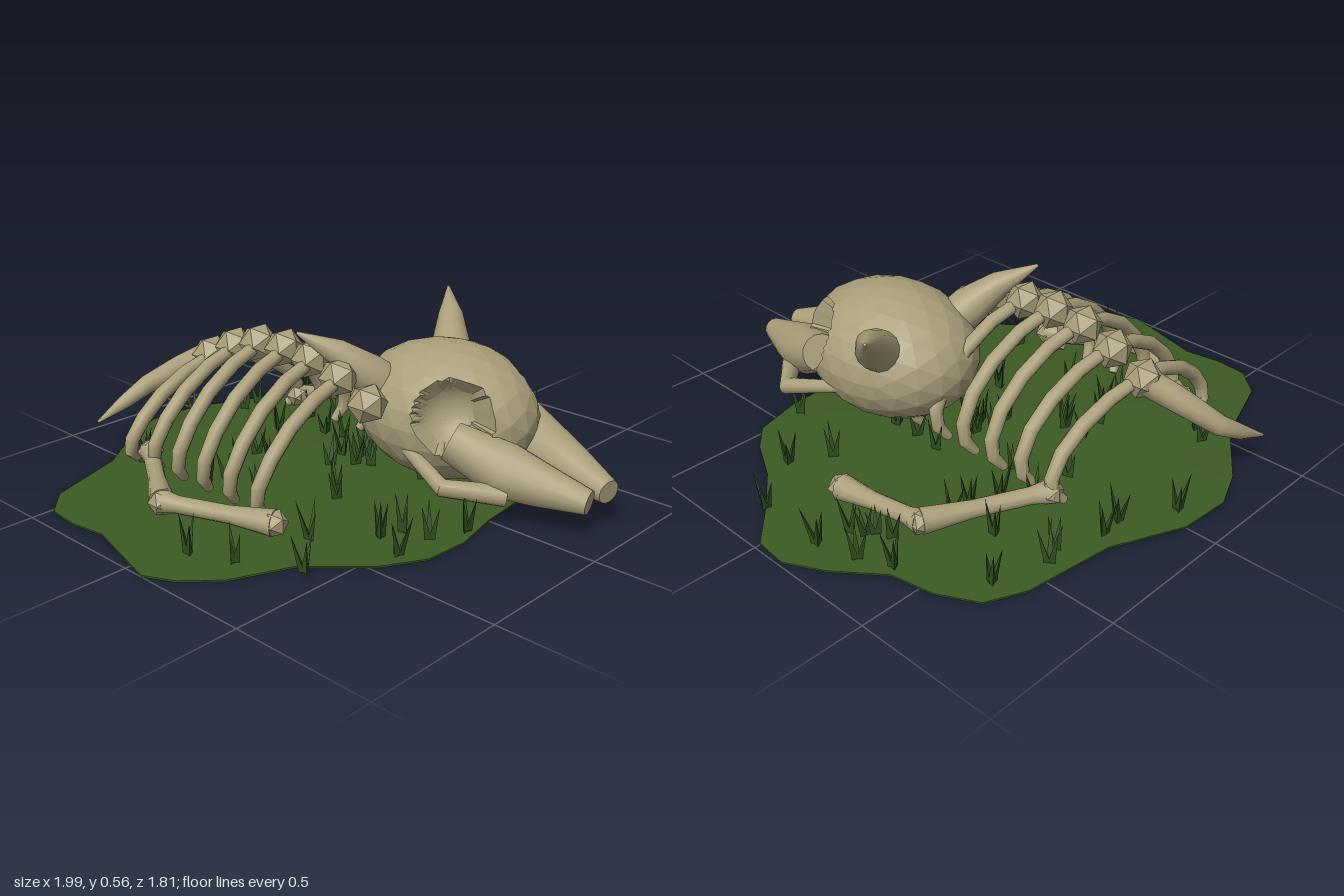
import * as THREE from 'three';
import { toCreasedNormals, mergeGeometries } from 'three/addons/utils/BufferGeometryUtils.js';

const V = (x, y, z) => new THREE.Vector3(x, y, z);
const SKULL_X = 0.165, SPINE_X = -0.16;

function fromTriangles(points, crease) {
  const geo = new THREE.BufferGeometry().setFromPoints(points);
  return toCreasedNormals(geo, crease);
}

// Joins rings of points into a closed skin with capped ends
function skin(rings, crease = 0.7) {
  const tris = [], n = rings[0].length;
  const mid = (ring) => ring.reduce((s, p) => s.add(p), V(0, 0, 0)).divideScalar(n);
  const first = rings[0], last = rings[rings.length - 1];
  const c0 = mid(first), c1 = mid(last);
  for (let i = 0; i < n; i++) {
    const j = (i + 1) % n;
    tris.push(c0, first[j], first[i], c1, last[i], last[j]);
    for (let k = 0; k + 1 < rings.length; k++) {
      const a = rings[k], b = rings[k + 1];
      tris.push(a[i], a[j], b[j], a[i], b[j], b[i]);
    }
  }
  return fromTriangles(tris, crease);
}

// Round limb through stations [x, y, z, radius]
function loft(stations, sides = 12) {
  const pts = stations.map((s) => V(s[0], s[1], s[2]));
  const whole = pts[pts.length - 1].clone().sub(pts[0]);
  const a = whole.toArray().map(Math.abs);
  const ref = V(0, 0, 0).setComponent(a.indexOf(Math.min(...a)), 1);
  return skin(pts.map((p, k) => {
    const t = V(0, 0, 0);
    if (k > 0) t.add(p.clone().sub(pts[k - 1]).normalize());
    if (k < pts.length - 1) t.add(pts[k + 1].clone().sub(p).normalize());
    t.normalize();
    const u = ref.clone().cross(t).normalize(), v = t.clone().cross(u);
    return Array.from({ length: sides }, (_, i) => {
      const q = (i / sides) * Math.PI * 2, r = stations[k][3];
      return p.clone().addScaledVector(u, Math.cos(q) * r).addScaledVector(v, Math.sin(q) * r);
    });
  }));
}

const mirror = (stations, x) => stations.map((s) => [2 * x - s[0], ...s.slice(1)]);

// Faceted egg with two scooped eye sockets
function craniumGeometry() {
  const centre = V(SKULL_X, 0.267, 0.28), r = 0.13, n = 6;
  const sockets = [-1, 1].map((s) => V(SKULL_X + s * 0.205, 0.33, 0.47));
  const ico = new THREE.IcosahedronGeometry(1, 3).scale(0.275, 0.235, 0.34);
  ico.translate(centre.x, centre.y, centre.z);
  const pos = ico.attributes.position, out = [];
  const carve = (p) => {
    for (const c of sockets) {
      const w = p.clone().sub(c);
      if (w.length() >= r) continue;
      const d = centre.clone().sub(p).normalize(), k = w.dot(d);
      p.addScaledVector(d, -k + Math.sqrt(k * k - w.lengthSq() + r * r));
    }
    return p;
  };
  for (let f = 0; f < pos.count; f += 3) {
    const [a, b, c] = [0, 1, 2].map((i) => V(0, 0, 0).fromBufferAttribute(pos, f + i));
    const at = (i, j) => carve(a.clone().multiplyScalar(n - i - j)
      .addScaledVector(b, i).addScaledVector(c, j).divideScalar(n));
    for (let i = 0; i < n; i++) for (let j = 0; i + j < n; j++) {
      out.push(at(i, j), at(i + 1, j), at(i, j + 1));
      if (i + j < n - 1) out.push(at(i + 1, j), at(i + 1, j + 1), at(i, j + 1));
    }
  }
  return fromTriangles(out, 0.15);
}

export function createModel() {
  const model = new THREE.Group();
  const material = (name, color) => {
    const m = new THREE.MeshStandardMaterial({ color });
    m.name = name;
    return m;
  };
  const bone = material('bone', 0xaa9f7a);
  const turf = material('turf', 0x3c5a23);
  const blade = material('grass blade', 0x2f4f1d);
  const add = (name, geo, mat = bone, parent = model) => {
    const mesh = new THREE.Mesh(geo, mat);
    mesh.name = name;
    parent.add(mesh);
    return mesh;
  };
  const group = (name) => {
    const g = new THREE.Group();
    g.name = name;
    model.add(g);
    return g;
  };

  // Ground: thin mound with a wavy outline
  const outline = [[-0.19, -0.9], [0, -0.89], [0.25, -0.78], [0.57, -0.74], [0.7, -0.68], [0.77, -0.55],
    [0.8, -0.4], [0.92, -0.25], [0.99, -0.12], [0.98, 0], [0.86, 0.13], [0.74, 0.28], [0.66, 0.43],
    [0.58, 0.52], [0.4, 0.57], [0.2, 0.58], [0, 0.6], [-0.18, 0.64], [-0.34, 0.63], [-0.48, 0.55],
    [-0.65, 0.37], [-0.85, 0.28], [-0.95, 0.18], [-1, 0.08], [-0.98, 0], [-0.92, -0.23], [-0.94, -0.36],
    [-0.93, -0.48], [-0.84, -0.58], [-0.55, -0.68], [-0.33, -0.84]].reverse();
  const ring = (s, y) => outline.map(([x, z]) => V(x * s, y, -0.12 + (z + 0.12) * s));
  add('ground', skin([ring(1, 0), ring(1, 0.006), ring(0.5, 0.018)]), turf);

  // Skull: cranium, paired snout bones, cheekbones and horns
  const skull = group('skull');
  add('cranium', craniumGeometry(), bone, skull);
  const skullParts = {
    Snout: [[-0.02, 0.245, 0.45, 0.068], [0.05, 0.168, 0.62, 0.095], [0.075, 0.147, 0.75, 0.072],
      [0.11, 0.125, 0.9, 0.041]],
    Cheekbone: [[-0.06, 0.2, 0.27, 0.02], [-0.135, 0.135, 0.51, 0.03], [0, 0.11, 0.66, 0.036]],
    Horn: [[0, 0.36, 0.14, 0.072], [-0.055, 0.405, 0.115, 0.07], [-0.135, 0.485, 0.045, 0.045],
      [-0.23, 0.553, -0.045, 0.005]],
  };
  for (const [name, path] of Object.entries(skullParts)) {
    add('right' + name, loft(path, 14), bone, skull);
    add('left' + name, loft(mirror(path, SKULL_X), 14), bone, skull);
  }

  // Spine and ribs
  const spine = group('spine'), ribs = group('ribs');
  [0.345, 0.405, 0.445, 0.455, 0.445, 0.41, 0.35].forEach((y, i) => {
    const z = -0.57 + i * 0.13;
    add('vertebra', new THREE.IcosahedronGeometry(0.07, 0), bone, spine).position.set(SPINE_X, y, z);
    if (i === 6) return;
    const rib = [[0, 1, 0.01, 0.022], [0.14, 0.9, 0.025, 0.025], [0.26, 0.73, 0.035, 0.026],
      [0.35, 0.51, 0.04, 0.026], [0.4, 0.28, 0.035, 0.025], [0.4, 0.12, 0.025, 0.023], [0.365, 0, 0.01, 0.016]]
      .map(([dx, h, dz, r]) => [SPINE_X - dx, 0.05 + (y - 0.05) * h, z + dz, r]);
    add('rightRib', loft(rib, 10), bone, ribs);
    add('leftRib', loft(mirror(rib, SPINE_X), 10), bone, ribs);
  });
  add('tail', loft([[-0.16, 0.34, -0.58, 0.048], [-0.22, 0.28, -0.68, 0.044], [-0.29, 0.205, -0.79, 0.036],
    [-0.38, 0.15, -0.82, 0.026], [-0.49, 0.095, -0.84, 0.005]]), bone);

  // Limbs: two flared bones and knobbly joints on each side
  const limbs = {
    rightLimb: [[-0.51, 0.085, -0.5], [-0.73, 0.075, -0.16], [-0.575, 0.065, 0.2]],
    leftLimb: [[0.24, 0.085, -0.53], [0.62, 0.075, -0.34], [0.665, 0.065, -0.02]],
  };
  for (const [name, joints] of Object.entries(limbs)) {
    const limb = group(name);
    joints.forEach((p, i) => {
      add('joint', new THREE.IcosahedronGeometry(0.047, 0), bone, limb).position.set(...p);
      if (!i) return;
      const a = V(...joints[i - 1]), b = V(...p);
      const shaft = [[0, 0.042], [0.15, 0.03], [0.6, 0.03], [0.88, 0.04], [1, 0.045]]
        .map(([t, r]) => [...a.clone().lerp(b, t).toArray(), r]);
      add('limbBone', loft(shaft, 10), bone, limb);
    });
  }

  // Grass: tufts of three leaning blades
  let seed = 7;
  const rand = () => (seed = (seed * 16807) % 2147483647) / 2147483647;
  const tufts = [[-0.05, -0.82], [0.13, -0.72], [0.21, -0.73], [0.37, -0.67], [0.43, -0.7], [0.62, -0.64],
    [-0.43, -0.64], [0.45, -0.49], [0.77, -0.38], [0.73, -0.2], [0.82, -0.27], [0.86, -0.13], [0.86, 0.13],
    [0.65, 0.28], [0.52, 0.2], [-0.82, 0.08], [-0.76, 0.22], [-0.66, 0.42], [-0.34, 0.43], [-0.26, 0.46],
    [-0.39, 0.55], [-0.24, 0.55], [-0.12, 0.6], [0.3, -0.37], [0.48, -0.33], [0.4, -0.33], [0.68, -0.27],
    [0.7, -0.22], [0.75, -0.16], [-0.48, -0.58], [0.42, 0.5]];
  for (let i = 0; i < 26; i++) tufts.push([-0.5 + rand() * 0.8, -0.5 + rand() * 0.85]);
  const blades = [];
  for (const [x, z] of tufts) {
    const turn = rand() * 6.28;
    for (let i = 0; i < 3; i++) {
      const h = 0.09 + rand() * 0.05;
      blades.push(new THREE.ConeGeometry(0.013, h, 3).translate(0, h / 2, 0)
        .rotateX(0.15 + rand() * 0.17).translate(0, 0, 0.006)
        .rotateY(turn + i * 2.1 + rand() * 0.5).translate(x, 0.012, z));
    }
  }
  add('grass', toCreasedNormals(mergeGeometries(blades), 0.3), blade);
  return model;
}
